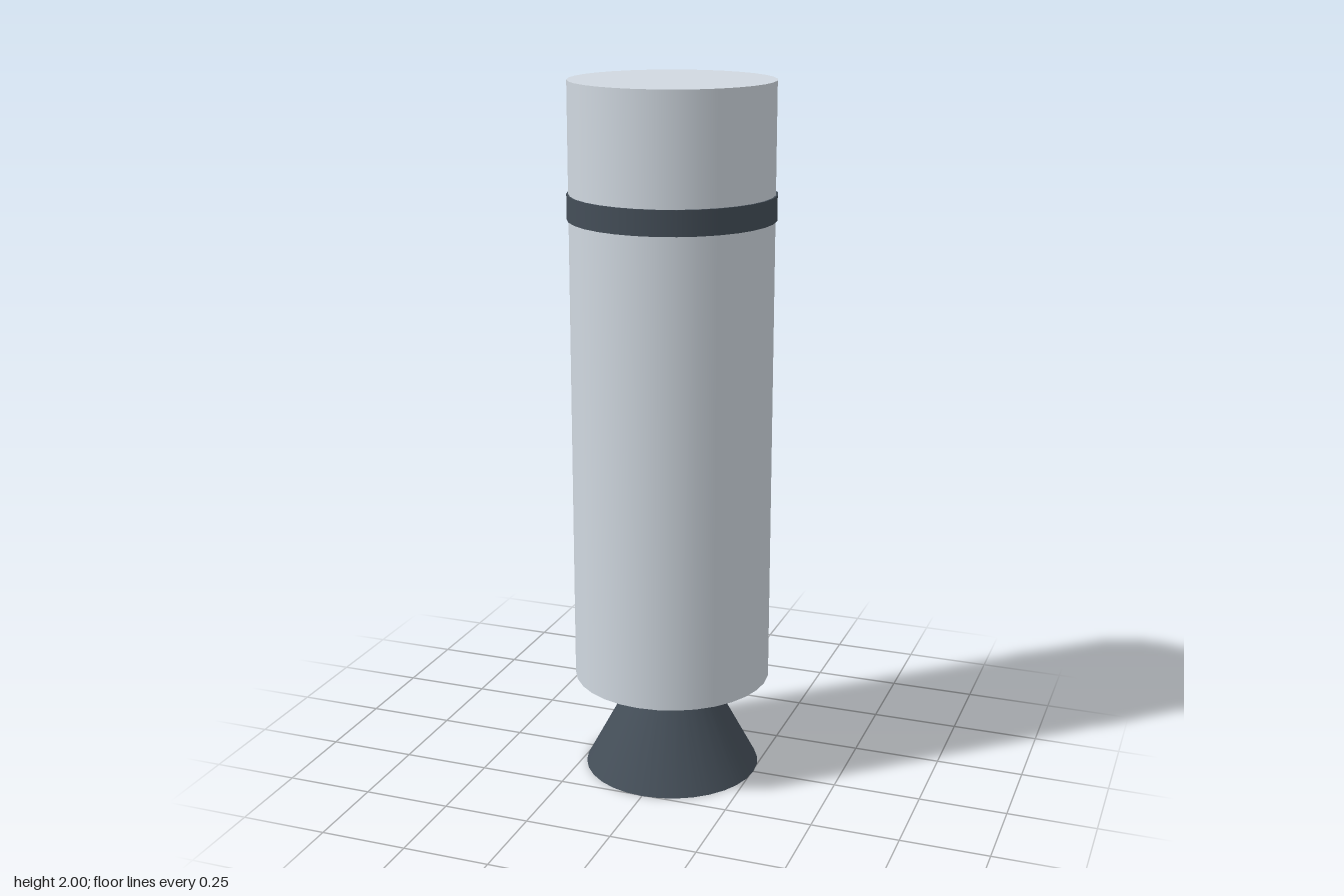
import * as THREE from 'three';

const SEGMENTS = 32;

// Upright capped cylinder or cone spanning two heights
function round(name, rTop, rBottom, y0, y1, color) {
  const geometry = new THREE.CylinderGeometry(rTop, rBottom, y1 - y0, SEGMENTS);
  const mesh = new THREE.Mesh(geometry, new THREE.MeshStandardMaterial({ color }));
  mesh.name = name;
  mesh.position.y = (y0 + y1) / 2;
  return mesh;
}

export function createModel() {
  const model = new THREE.Group();
  model.name = 'rocketStage';

  const light = 0xd0d8e0;
  const dark = 0x444e58;

  model.add(
    // Main tank
    round('tank', 0.283, 0.283, 0.288, 2, light),
    // Thin raised ring near the top
    round('band', 0.288, 0.288, 1.625, 1.695, dark),
    // Flared engine nozzle under the tank
    round('nozzle', 0.1, 0.254, 0, 0.288, dark)
  );

  return model;
}
